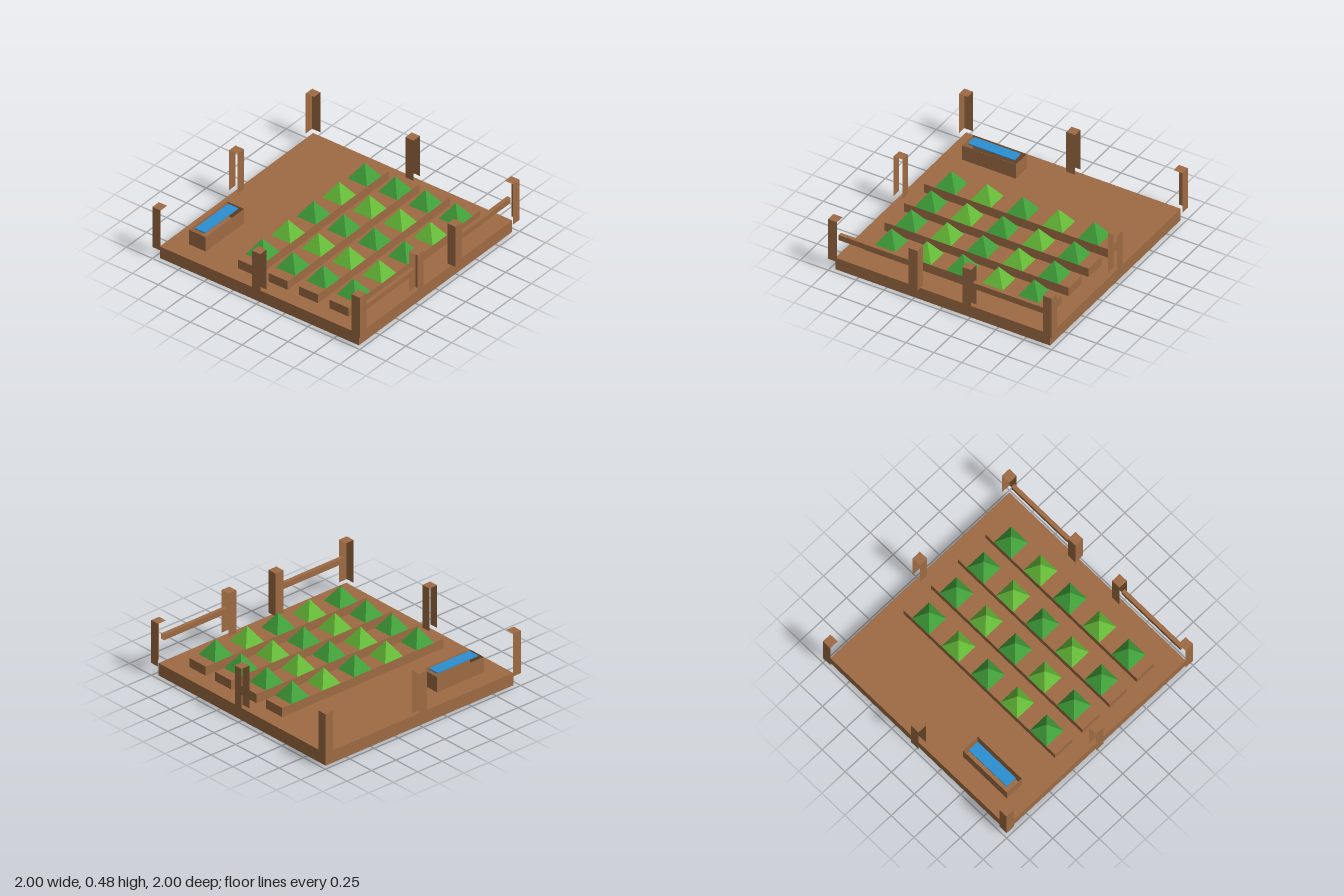
import * as THREE from 'three';

const material = (name, color) =>
  new THREE.MeshStandardMaterial({ name, color, side: THREE.DoubleSide });

// Box that keeps only the listed sides
const SIDES = ['+x', '-x', '+y', '-y', '+z', '-z'];
function openBox(w, h, d, sides) {
  const geo = new THREE.BoxGeometry(w, h, d);
  const all = Array.from(geo.index.array);
  geo.setIndex(sides.flatMap((s) => {
    const i = SIDES.indexOf(s) * 6;
    return all.slice(i, i + 6);
  }));
  geo.clearGroups();
  return geo;
}

export function createModel() {
  const brown = material('woodBrown', 0x9e6b43);
  const darkGreen = material('leafGreen', 0x41a03a);
  const lightGreen = material('limeGreen', 0x65ba38);
  const blue = material('waterBlue', 0x2c90d2);

  const model = new THREE.Group();
  model.name = 'vegetableGarden';

  function add(name, geo, mat, x, y, z) {
    const mesh = new THREE.Mesh(geo, mat);
    mesh.name = name;
    mesh.position.set(x, y, z);
    model.add(mesh);
  }

  // Ground slab, open underneath
  const groundTop = 0.107;
  const walls = ['+x', '-x', '+z', '-z'];
  add('ground', openBox(1.92, groundTop, 1.92, [...walls, '+y']), brown, 0, groundTop / 2, 0);

  // Raised beds with rows of four-sided plants
  const bedTop = 0.186, bedSize = 0.185, plantHeight = 0.134;
  const plantGeo = new THREE.ConeGeometry(bedSize / Math.SQRT2, plantHeight, 4, 1, true)
    .rotateY(Math.PI / 4).toNonIndexed();
  plantGeo.computeVertexNormals();
  for (let row = 0; row < 4; row++) {
    const z = -0.216 + row * 0.293;
    add('bed', openBox(1.65, bedTop - groundTop, bedSize, [...walls, '+y']), brown,
      0, (bedTop + groundTop) / 2, z);
    for (let col = 0; col < 5; col++) {
      add('plant', plantGeo, col % 2 ? lightGreen : darkGreen,
        (col - 2) * 0.32, bedTop + plantHeight / 2, z);
    }
  }

  // Open water trough
  const troughTop = 0.24;
  add('trough', openBox(0.48, troughTop - groundTop, 0.16, walls), brown,
    -0.56, (troughTop + groundTop) / 2, -0.72);
  add('water', new THREE.BoxGeometry(0.415, 0.009, 0.097), blue, -0.56, 0.248, -0.72);

  // Fence posts made from boards under a cap
  const postTop = 0.48, edge = 0.96;
  function post(name, x, z, sides) {
    add(name, openBox(0.08, postTop - groundTop, 0.08, [...sides, '+y']), brown,
      x, (postTop + groundTop) / 2, z);
  }
  for (const s of [-1, 1]) {
    const outerX = s > 0 ? '+x' : '-x';
    const innerX = s > 0 ? '-x' : '+x';
    post('backCornerPost', s * edge, -edge, [outerX, '-z']);
    post('frontCornerPost', s * edge, edge, [outerX, '+z']);
    post('sidePost', s * edge, 0, ['+x', '-x']);
    post('gatePost', s * 0.24, edge, ['+z', '-z', innerX]);
    // Front rail between corner and gate post
    add('frontRail', openBox(0.64, 0.048, 0.034, ['+y', '-y', '+z', '-z']), brown,
      s * 0.6, 0.322, 0.959);
  }
  post('backPost', 0, -edge, ['+z', '-z']);

  return model;
}
